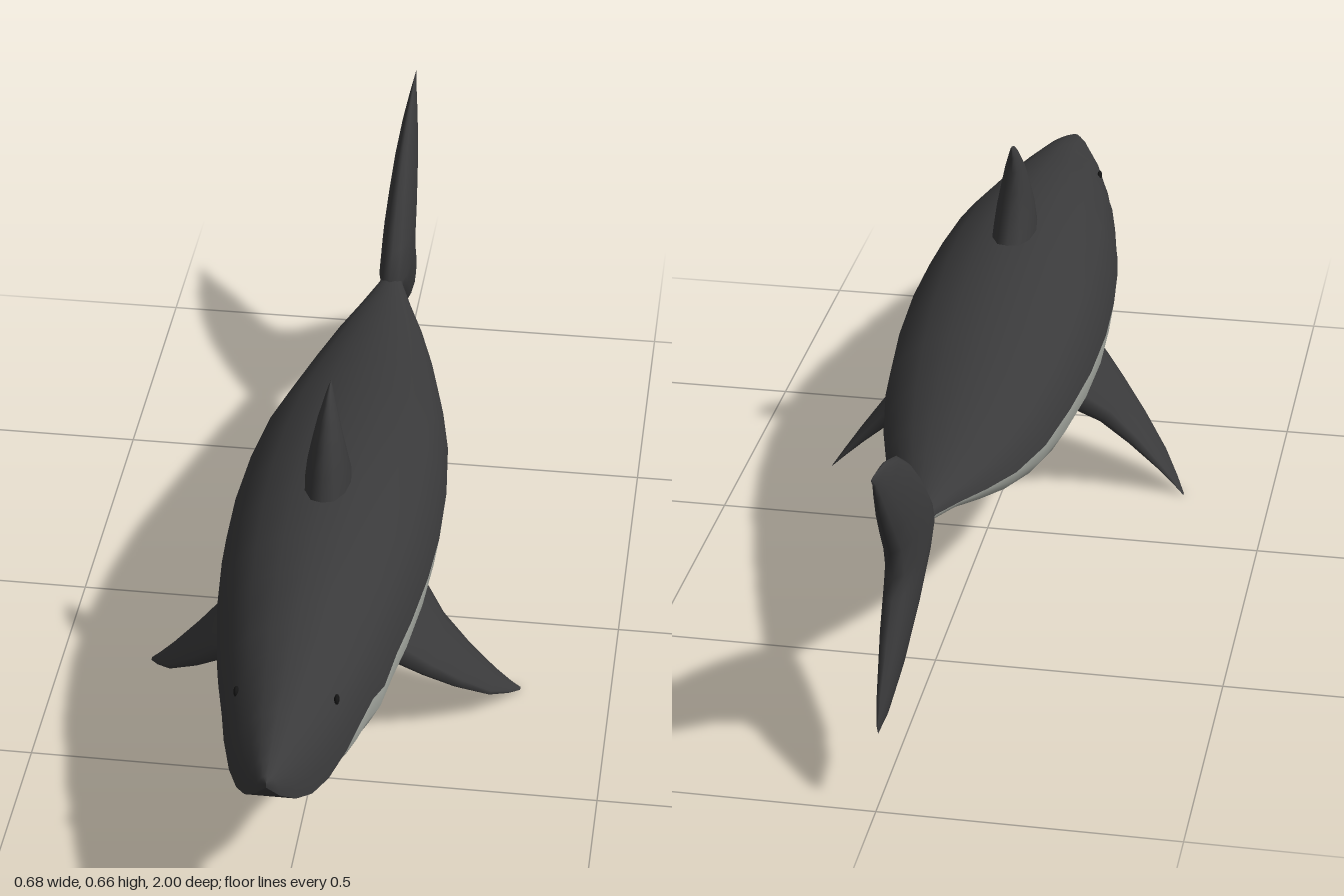
import * as THREE from 'three';

const dark = new THREE.MeshStandardMaterial({ color: 0x3a3a3b });
dark.name = 'charcoal back';
const pale = new THREE.MeshStandardMaterial({ color: 0xb2b6ae });
pale.name = 'pale belly';
const black = new THREE.MeshStandardMaterial({ color: 0x141414 });
black.name = 'black eye';

// Skin a list of cross-sections (arrays of [x, y, z]) into one smooth mesh
function loft(name, rows, material, closed = false) {
  const n = rows[0].length, index = [];
  for (let i = 0; i < rows.length - 1; i++) {
    for (let j = 0; j < (closed ? n : n - 1); j++) {
      const k = (j + 1) % n;
      const a = i * n + j, b = i * n + k, c = a + n, d = b + n;
      index.push(a, c, b, b, c, d);
    }
  }
  const g = new THREE.BufferGeometry();
  g.setAttribute('position', new THREE.Float32BufferAttribute(rows.flat(2), 3));
  g.setIndex(index);
  g.computeVertexNormals();
  const mesh = new THREE.Mesh(g, material);
  mesh.name = name;
  return mesh;
}

// Half an ellipse around the body: side = 1 for the back, -1 for the belly
function halfRing(z, width, midY, height, side, steps = 10) {
  return Array.from({ length: steps + 1 }, (_, j) => {
    const t = Math.PI * j / steps;
    return [side * width * Math.cos(t), midY + side * height * Math.sin(t), z];
  });
}

// Lens-shaped fin; sections are [x, y, leadZ, trailZ, halfThickness], (sx, sy) is its direction
function fin(name, sections, sx, sy) {
  const rows = sections.map(([x, y, lead, trail, thick]) =>
    Array.from({ length: 12 }, (_, j) => {
      const t = Math.PI * 2 * j / 12, off = thick * Math.sin(t);
      const z = (lead + trail) / 2 - (lead - trail) / 2 * Math.cos(t);
      return [x + sy * off, y - sx * off, z];
    }));
  return loft(name, rows, dark, true);
}

export function createModel() {
  const model = new THREE.Group();
  model.name = 'shark';

  // Body behind the mouth: z, half width, top, colour line, bottom
  const trunk = [
    [0.74, 0.115, 0.452, 0.315, 0.21],
    [0.68, 0.13, 0.463, 0.325, 0.19],
    [0.62, 0.142, 0.473, 0.308, 0.17],
    [0.55, 0.154, 0.482, 0.325, 0.157],
    [0.46, 0.168, 0.49, 0.327, 0.145],
    [0.33, 0.181, 0.493, 0.325, 0.139],
    [0.2, 0.186, 0.486, 0.318, 0.136],
    [0.05, 0.182, 0.465, 0.312, 0.148],
    [-0.1, 0.168, 0.437, 0.308, 0.165],
    [-0.23, 0.145, 0.411, 0.297, 0.202],
    [-0.35, 0.115, 0.389, 0.302, 0.243],
    [-0.45, 0.082, 0.374, 0.317, 0.28],
    [-0.53, 0.05, 0.364, 0.33, 0.311],
    [-0.6, 0.024, 0.358, 0.34, 0.325],
    [-0.7, 0, 0.345, 0.343, 0.341],
  ];
  // Snout: z, half width, top, lower edge
  const snout = [
    [1, 0, 0.39, 0.38],
    [0.99, 0.02, 0.396, 0.358],
    [0.96, 0.042, 0.407, 0.33],
    [0.92, 0.062, 0.419, 0.31],
    [0.87, 0.082, 0.432, 0.304],
    [0.8, 0.102, 0.443, 0.308],
  ];
  // Lower jaw: z, half width, upper edge, bottom
  const jaw = [
    [0.88, 0, 0.27, 0.266],
    [0.86, 0.035, 0.276, 0.257],
    [0.82, 0.07, 0.288, 0.241],
    [0.78, 0.096, 0.301, 0.225],
  ];

  const upper = [...snout, ...trunk];
  model.add(loft('back', upper.map(([z, w, top, mid]) => halfRing(z, w, mid, top - mid, 1)), dark));
  const lower = [...jaw, ...trunk.map(([z, w, , mid, bottom]) => [z, w, mid, bottom])];
  model.add(loft('belly', lower.map(([z, w, mid, bottom]) => halfRing(z, w, mid, mid - bottom, -1)), pale));

  // Faces of the open mouth
  const hinge = trunk[0];
  model.add(loft('mouthRoof', [...snout, hinge].map(([z, w, , y]) => [[-w, y, z], [0, y, z], [w, y, z]]), dark));
  model.add(loft('jawFloor', [...jaw, [hinge[0], hinge[1], hinge[3]]]
    .map(([z, w, y]) => [[w, y, z], [0, y, z], [-w, y, z]]), pale));

  // Dorsal fin
  model.add(fin('dorsalFin', [
    [0, 0.45, 0.385, 0.17, 0.042],
    [0, 0.49, 0.365, 0.2, 0.04],
    [0, 0.53, 0.35, 0.226, 0.035],
    [0, 0.57, 0.332, 0.24, 0.027],
    [0, 0.61, 0.31, 0.246, 0.018],
    [0, 0.64, 0.288, 0.242, 0.009],
    [0, 0.655, 0.268, 0.24, 0.004],
    [0, 0.663, 0.245, 0.24, 0],
  ], 0, 1));

  // Tail fin, from lower tip to upper tip: y, leadZ, trailZ, half thickness
  const tail = [
    [0.132, -0.96, -0.975, 0],
    [0.145, -0.88, -0.976, 0.007],
    [0.185, -0.785, -0.955, 0.016],
    [0.25, -0.685, -0.905, 0.025],
    [0.31, -0.6, -0.858, 0.03],
    [0.345, -0.565, -0.845, 0.031],
    [0.4, -0.62, -0.862, 0.03],
    [0.45, -0.67, -0.9, 0.026],
    [0.5, -0.73, -0.935, 0.021],
    [0.55, -0.81, -0.965, 0.013],
    [0.58, -0.89, -0.982, 0.006],
    [0.6, -0.985, -1, 0],
  ];
  model.add(fin('tailFin', tail.map((s) => [0, ...s]), 0, 1));

  // Pectoral fins: y, leadZ, trailZ, half thickness
  const pectoral = [
    [0.235, 0.42, 0.12, 0.043],
    [0.2, 0.408, 0.14, 0.038],
    [0.15, 0.375, 0.19, 0.029],
    [0.1, 0.337, 0.204, 0.02],
    [0.05, 0.288, 0.206, 0.01],
    [0.02, 0.24, 0.202, 0.004],
    [0.002, 0.205, 0.196, 0],
  ];
  for (const side of [1, -1]) {
    const name = side > 0 ? 'left' : 'right';
    model.add(fin(name + 'PectoralFin',
      pectoral.map(([y, ...rest]) => [side * (0.1 + (0.235 - y) * 1.02), y, ...rest]),
      side * 0.715, -0.7));

    // Small eye set into the side of the head
    const eye = new THREE.Mesh(new THREE.SphereGeometry(0.009, 12, 8), black);
    eye.name = name + 'Eye';
    eye.scale.x = 0.5;
    eye.position.set(side * 0.083, 0.396, 0.78);
    model.add(eye);
  }
  return model;
}
